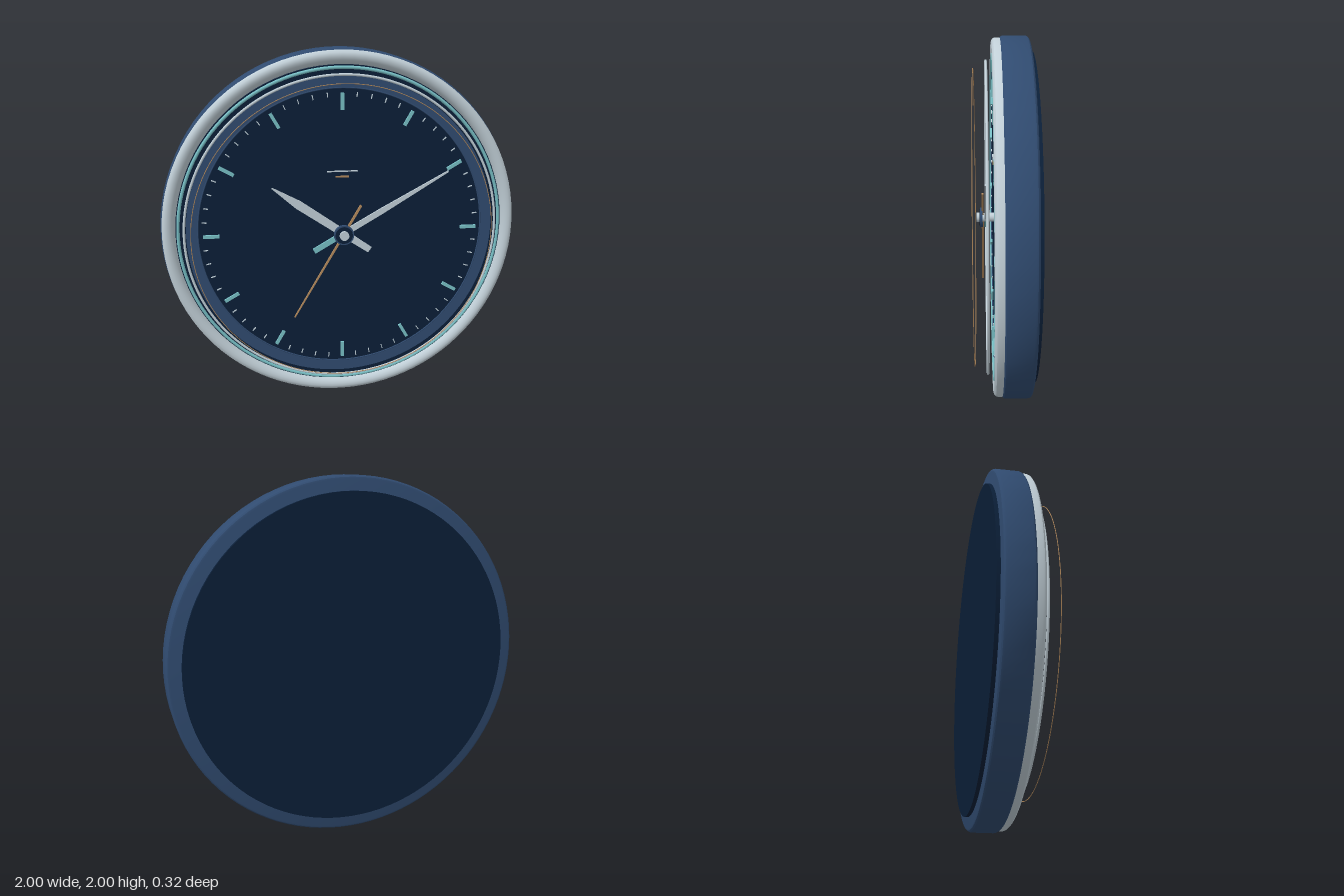
import * as THREE from 'three';
import { toCreasedNormals } from 'three/addons/utils/BufferGeometryUtils.js';

const mat = (name, color) => Object.assign(new THREE.MeshStandardMaterial({ color }), { name });

export function createModel() {
  const blue = mat('case blue', 0x304b70);
  const navy = mat('dial navy', 0x0b1f38);
  const silver = mat('silver', 0xc2d0d8);
  const teal = mat('teal', 0x78c0c6);
  const copper = mat('copper', 0xb48a5c);

  const model = new THREE.Group();
  model.name = 'wallClock';
  const clock = new THREE.Group();
  clock.name = 'clock';
  clock.position.y = 1; // the dial centre is the local origin
  model.add(clock);

  const add = (name, geometry, material, parent = clock) => {
    const mesh = new THREE.Mesh(geometry, material);
    mesh.name = name;
    parent.add(mesh);
    return mesh;
  };

  // Turned part: [radius, z] profile spun about the z axis
  const turned = (name, profile, material, segments = 96) => {
    const g = new THREE.LatheGeometry(profile.map(([r, z]) => new THREE.Vector2(r, z)), segments);
    g.rotateX(Math.PI / 2);
    return add(name, toCreasedNormals(g, 0.45), material);
  };
  const disc = (name, r, z0, z1, material, segments = 96) => {
    const g = new THREE.CylinderGeometry(r, r, z1 - z0, segments);
    g.rotateX(Math.PI / 2).translate(0, 0, (z0 + z1) / 2);
    return add(name, g, material);
  };
  const hoop = (name, r, tube, z, material) =>
    add(name, new THREE.TorusGeometry(r, tube, 8, 128).translate(0, 0, z), material);

  // Case and back
  turned('case', [
    [0, -0.14], [0.98, -0.14], [0.99, -0.137], [0.997, -0.13], [1, -0.12],
    [1, -0.002], [0.997, 0.008], [0.99, 0.015], [0, 0.015],
  ], blue);
  disc('backPlate', 0.92, -0.16, -0.138, navy);

  // Rounded bezel
  turned('bezel', [
    [0.99, 0.012], [0.99, 0.04], [0.987, 0.05], [0.978, 0.058], [0.965, 0.062],
    [0.95, 0.06], [0.937, 0.054], [0.926, 0.044], [0.918, 0.03], [0.915, 0.012],
  ], silver);

  // Dial with its surrounding rings
  disc('dial', 0.916, 0.01, 0.048, navy);
  const band = new THREE.RingGeometry(0.797, 0.86, 128, 1).translate(0, 0, 0.053);
  add('chapterRing', band, blue);
  hoop('dialEdge', 0.797, 0.004, 0.051, blue);
  hoop('tealRing', 0.902, 0.009, 0.053, teal);
  hoop('innerRing', 0.868, 0.007, 0.09, silver);
  hoop('glassRim', 0.828, 0.002, 0.16, copper);

  // Hour markers and minute ticks
  const markers = new THREE.Group();
  markers.name = 'markers';
  clock.add(markers);
  for (let i = 0; i < 60; i++) {
    const isHour = i % 5 === 0;
    const g = isHour
      ? new THREE.BoxGeometry(0.09, 0.018, 0.014).translate(0.725, 0, 0.054)
      : new THREE.BoxGeometry(0.026, 0.005, 0.008).translate(0.763, 0, 0.051);
    g.rotateZ((i * Math.PI) / 30);
    add(isHour ? 'hourMarker' : 'minuteTick', g, isHour ? teal : silver, markers);
  }

  // Two plain accent bars on the dial
  add('upperAccent', new THREE.BoxGeometry(0.17, 0.006, 0.008).translate(0, 0.345, 0.052), silver);
  add('lowerAccent', new THREE.BoxGeometry(0.075, 0.008, 0.008).translate(0, 0.315, 0.052), copper);

  // Hands: half outline [distance, half width], mirrored, pointing along dx, dy
  const hand = (name, outline, dx, dy, z, depth, material) => {
    const mirrored = outline.map(([d, w]) => [d, -w]).reverse();
    const shape = new THREE.Shape([...outline, ...mirrored].map(([d, w]) => new THREE.Vector2(d, w)));
    const g = new THREE.ExtrudeGeometry(shape, { depth, bevelEnabled: false });
    g.translate(0, 0, z).rotateZ(Math.atan2(dy, dx));
    add(name, g, material);
  };
  hand('hourHand', [[-0.185, 0.018], [0, 0.021], [0.3, 0.024], [0.472, 0.003]],
    -0.39, 0.27, 0.075, 0.01, silver);
  hand('minuteHand', [[0, 0.017], [0.25, 0.016], [0.675, 0.004]],
    0.866, 0.5, 0.092, 0.01, silver);
  hand('minuteCounterweight', [[-0.19, 0.015], [0, 0.015]], 0.866, 0.5, 0.0915, 0.011, teal);
  hand('secondHand', [[-0.19, 0.006], [0, 0.006], [0.555, 0.003]],
    -0.28, -0.48, 0.106, 0.012, copper);

  // Hub
  disc('hubPost', 0.025, 0.04, 0.12, silver, 32);
  disc('hubBase', 0.056, 0.112, 0.128, blue, 48);
  disc('hubFace', 0.048, 0.127, 0.131, navy, 48);
  disc('hubCap', 0.026, 0.13, 0.146, silver, 32);

  return model;
}
